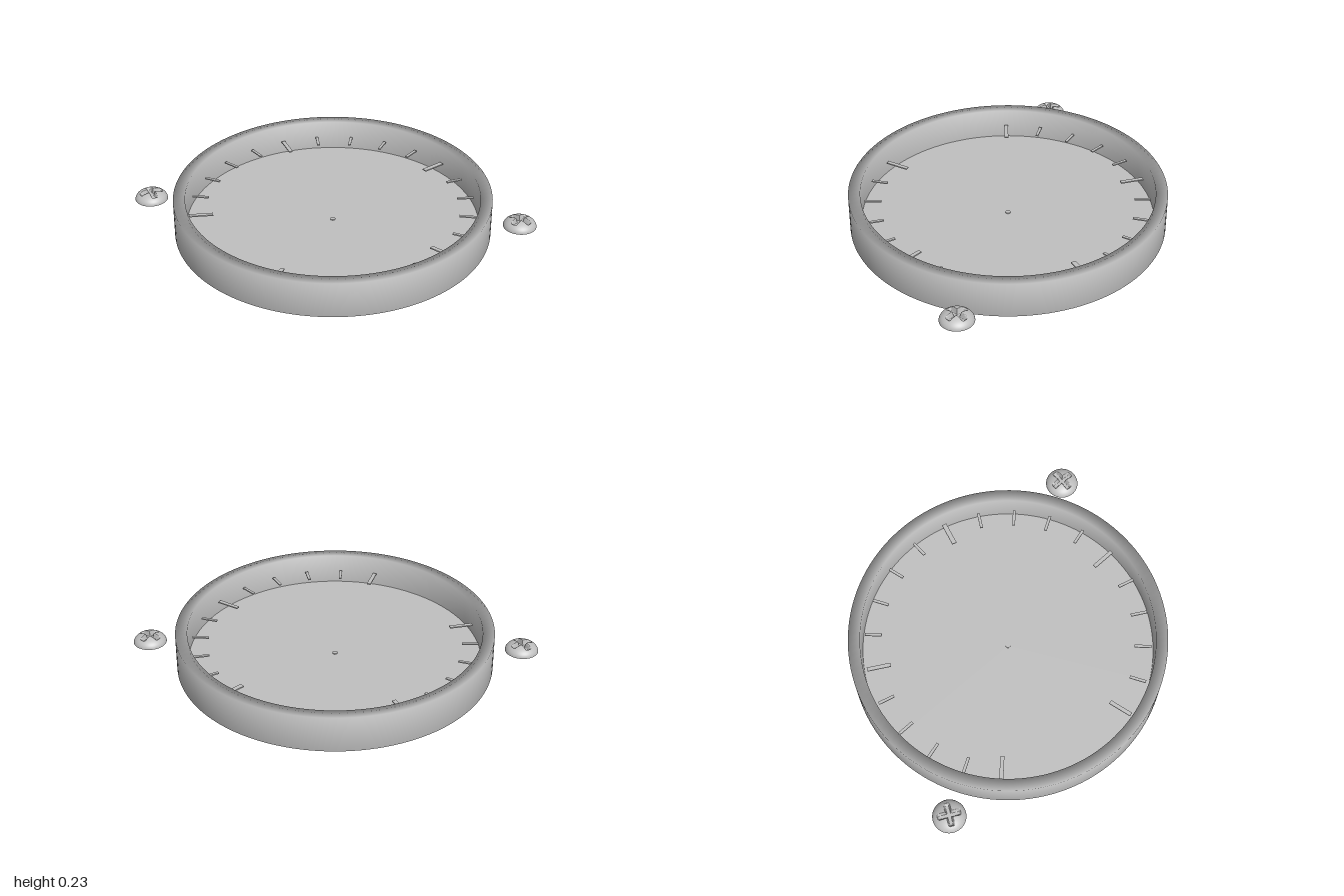
import * as THREE from 'three';

const grey = new THREE.MeshStandardMaterial({ color: 0xc0c0c0 });
grey.name = 'light grey';

function add(parent, name, geometry, x = 0, y = 0, z = 0) {
  const mesh = new THREE.Mesh(geometry, grey);
  mesh.name = name;
  mesh.position.set(x, y, z);
  parent.add(mesh);
  return mesh;
}

// Domed screw head with a cross-shaped recess pressed into the top
function screwGeometry(radius, height) {
  const profile = [];
  for (let i = 0; i <= 44; i++) {
    const a = (i / 44) * Math.PI / 2;
    profile.push(new THREE.Vector2(radius * Math.cos(a), height * Math.sin(a)));
  }
  profile[44].x = 0;
  const geometry = new THREE.LatheGeometry(profile, 96);
  const p = geometry.attributes.position;
  const arm = (along, across) =>
    (1 - THREE.MathUtils.smoothstep(Math.abs(along), 0.062, 0.074)) *
    (1 - THREE.MathUtils.smoothstep(Math.abs(across), 0.011, 0.019));
  for (let i = 0; i < p.count; i++) {
    const x = p.getX(i), z = p.getZ(i);
    const inside = Math.max(arm(x, z), arm(z, x));
    p.setY(i, THREE.MathUtils.lerp(p.getY(i), Math.min(p.getY(i), 0.025), inside));
  }
  geometry.computeVertexNormals();
  return geometry;
}

export function createModel() {
  const model = new THREE.Group();
  model.name = 'gaugeDial';

  // Shallow round case, softly shaded round its rim
  const section = [[0, 0], [0.96, 0], [1, 0], [1, 0.235], [0.925, 0.235], [0.925, 0.035]];
  add(model, 'case', new THREE.LatheGeometry(section.map(([x, y]) => new THREE.Vector2(x, y)), 128));

  // Dial floor and centre pin
  const floor = new THREE.CircleGeometry(0.926, 128);
  floor.rotateX(-Math.PI / 2);
  add(model, 'dialFloor', floor, 0, 0.035, 0);
  add(model, 'centrePin', new THREE.CylinderGeometry(0.016, 0.016, 0.008, 24), 0, 0.037, 0);

  // Scale marks every 15 degrees, longer at the ends, quarters and middle
  const ticks = new THREE.Group();
  ticks.name = 'scaleMarks';
  for (let deg = -150; deg <= 150; deg += 15) {
    const major = deg % 75 === 0;
    const length = major ? 0.15 : 0.105;
    const width = deg === 0 ? 0.03 : major ? 0.025 : 0.018;
    const r = 0.905 - length / 2;
    const a = THREE.MathUtils.degToRad(deg);
    const tick = add(ticks, major ? 'longMark' : 'shortMark',
      new THREE.BoxGeometry(width, 0.008, length), r * Math.sin(a), 0.128, -r * Math.cos(a));
    tick.rotation.y = -a;
  }
  model.add(ticks);

  // Two screws beside the case
  const head = screwGeometry(0.104, 0.06);
  const base = new THREE.CircleGeometry(0.104, 96);
  base.rotateX(Math.PI / 2);
  for (const side of [1, -1]) {
    const screw = new THREE.Group();
    screw.name = side > 0 ? 'leftBackScrew' : 'rightFrontScrew';
    add(screw, 'screwHead', head);
    add(screw, 'screwBase', base);
    screw.position.set(0.832 * side, 0.09, -0.832 * side);
    screw.rotation.y = 0.22 * side;
    model.add(screw);
  }
  return model;
}
